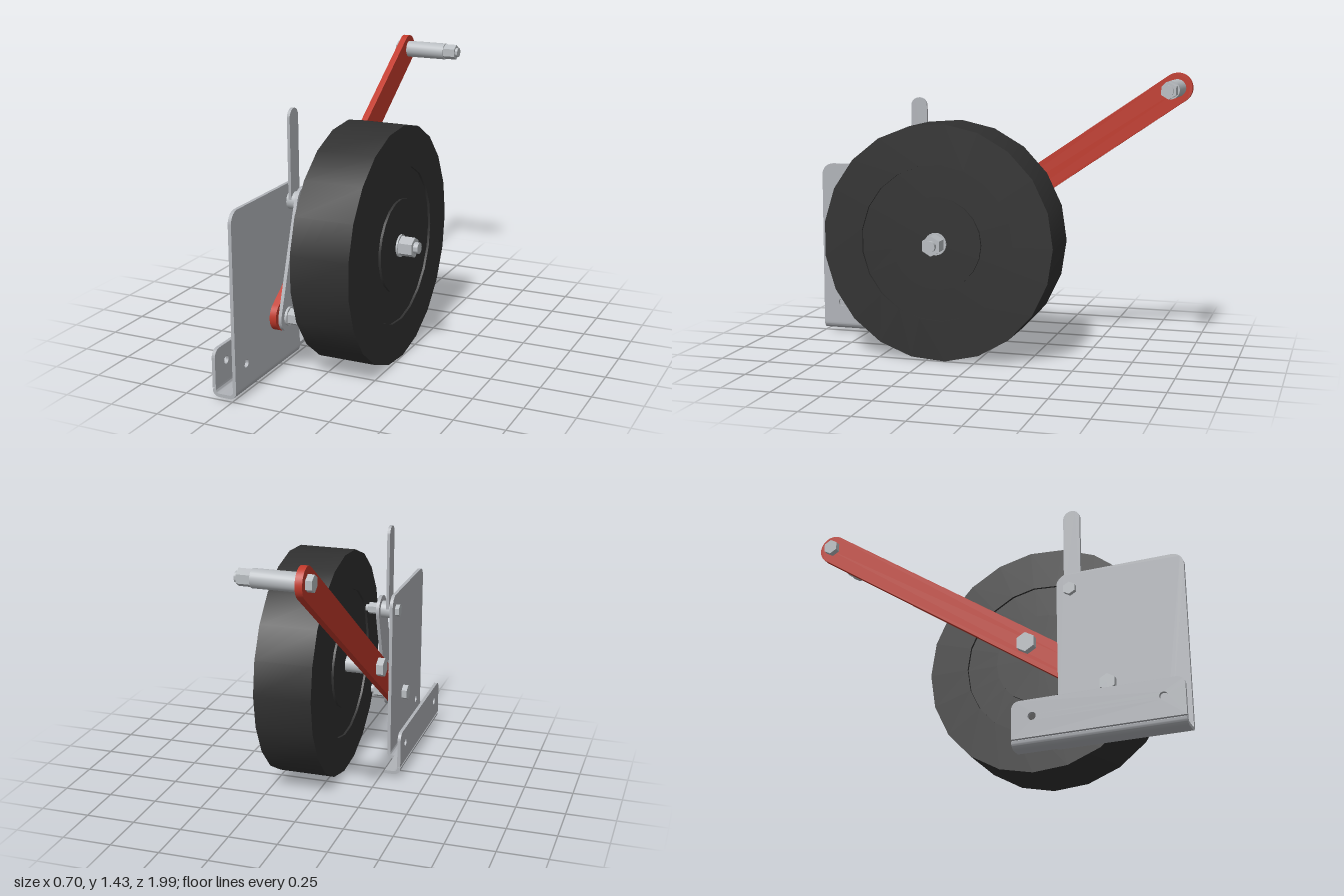
import * as THREE from 'three';
import { toCreasedNormals } from 'three/addons/utils/BufferGeometryUtils.js';

const material = (name, color, side = THREE.FrontSide) => {
  const m = new THREE.MeshStandardMaterial({ color, side });
  m.name = name;
  return m;
};

export function createModel() {
  const model = new THREE.Group();
  const sheet = material('sheet steel', 0xb0b3b8);
  const steel = material('bolt steel', 0xb8bcc0);
  const red = material('red paint', 0xc0392b);
  const rubber = material('black rubber', 0x303030);

  const add = (parent, name, geometry, mat) => {
    const mesh = new THREE.Mesh(toCreasedNormals(geometry, 0.6), mat);
    mesh.name = name;
    parent.add(mesh);
    return mesh;
  };

  // Flat plate: shape drawn as (-z, y), thickness running along x
  const plate = (name, shape, x0, x1, mat) => {
    const g = new THREE.ExtrudeGeometry(shape, { depth: x1 - x0, bevelEnabled: false, curveSegments: 10 });
    g.rotateY(Math.PI / 2).translate(x0, 0, 0);
    return add(model, name, g, mat);
  };

  // Round-ended bar between two [z, y] points, with an optional notch in its upper edge
  const bar = (p, q, r, notch) => {
    const [ax, ay, bx, by] = [-p[0], p[1], -q[0], q[1]];
    const ang = Math.atan2(by - ay, bx - ax);
    const c = Math.cos(ang), s = Math.sin(ang);
    const shape = new THREE.Shape();
    shape.absarc(ax, ay, r, ang + Math.PI / 2, ang + Math.PI * 1.5, false);
    shape.absarc(bx, by, r, ang - Math.PI / 2, ang + Math.PI / 2, false);
    if (notch) {
      const { from, to, depth } = notch;
      for (const [t, h] of [[to, r], [to, r - depth], [from, r - depth], [from, r]])
        shape.lineTo(ax + c * t - s * h, ay + s * t + c * h);
    }
    shape.closePath();
    return shape;
  };

  // Plate with two rounded upper corners and round holes, given in z and y
  const panel = (zBack, zFront, y0, y1, r, holes) => {
    const a = -zFront, b = -zBack;
    const shape = new THREE.Shape();
    shape.moveTo(a, y0);
    shape.lineTo(b, y0);
    shape.absarc(b - r, y1 - r, r, 0, Math.PI / 2, false);
    shape.absarc(a + r, y1 - r, r, Math.PI / 2, Math.PI, false);
    shape.closePath();
    for (const [z, y] of holes) {
      const hole = new THREE.Path();
      hole.absarc(-z, y, 0.02, 0, Math.PI * 2, true);
      shape.holes.push(hole);
    }
    return shape;
  };

  // Pivot points as [z, y]
  const lower = [0.611, 0.311], upper = [0.432, 0.836];
  const axle = [0.197, 0.597], grip = [-0.92, 1.36];

  // Bent mounting bracket
  const xl = -0.354, xr = -0.229, t = 0.017, yBend = 0.06;
  plate('bracketPlate', panel(0.36, 1, yBend, 0.925, 0.06, [[0.897, 0.163]]), xr - t, xr, sheet);
  plate('bracketFlange', panel(0.165, 1, yBend, 0.247, 0.04, [[0.897, 0.163], [0.268, 0.163]]), xl, xl + t, sheet);
  const trough = (name, full, z0, z1) => {
    const ro = 0.035, ri = ro - t, yc = 0.017 + ro, h = Math.PI / 2;
    const s = new THREE.Shape();
    s.moveTo(xl, yBend);
    s.absarc(xl + ro, yc, ro, Math.PI, 3 * h, false);
    if (full) {
      s.absarc(xr - ro, yc, ro, 3 * h, 4 * h, false);
      s.lineTo(xr, yBend);
      s.lineTo(xr - t, yBend);
      s.absarc(xr - ro, yc, ri, 0, -h, true);
    } else {
      s.lineTo(-0.27, 0.017);
      s.lineTo(-0.27, 0.017 + t);
    }
    s.absarc(xl + ro, yc, ri, -h, -2 * h, true);
    s.lineTo(xl + t, yBend);
    s.closePath();
    const g = new THREE.ExtrudeGeometry(s, { depth: z1 - z0, bevelEnabled: false, curveSegments: 8 });
    add(model, name, g.translate(0, 0, z0), sheet);
  };
  trough('bracketBase', true, 0.36, 1);
  trough('bracketBaseTail', false, 0.165, 0.36);

  // Crank arm, connecting link and latch lever
  plate('crankArm', bar(lower, grip, 0.075, { from: 0.22, to: 0.287, depth: 0.045 }), -0.218, -0.184, red);
  plate('connectingLink', bar(lower, upper, 0.073), -0.172, -0.155, sheet);
  plate('latchLever', bar(upper, [0.435, 1.248], 0.043), -0.217, -0.202, sheet);

  // Wheel with a shallow ring recess on both faces
  const w0 = -0.05, w1 = 0.247, R = 0.595, dip = 0.012;
  const profile = [
    [0, w0], [0.232, w0], [0.232, w0 + dip], [0.392, w0 + dip], [0.392, w0], [R, w0],
    [R, w1], [0.392, w1], [0.392, w1 - dip], [0.232, w1 - dip], [0.232, w1], [0, w1],
  ].map(([r, x]) => new THREE.Vector2(r, x));
  const wheelGeometry = new THREE.LatheGeometry(profile, 21, Math.PI);
  wheelGeometry.rotateZ(-Math.PI / 2);
  add(model, 'wheel', wheelGeometry, rubber).position.set(0, axle[1], axle[0]);

  // Bolts along x, each a stack of [part, x0, x1, radius, sides]
  const bolt = (name, [z, y], parts) => {
    const group = new THREE.Group();
    group.name = name;
    group.position.set(0, y, z);
    for (const [part, x0, x1, r, sides = 24] of parts) {
      const g = new THREE.CylinderGeometry(r, r, x1 - x0, sides);
      g.rotateZ(-Math.PI / 2).translate((x0 + x1) / 2, 0, 0);
      add(group, part, g, steel);
    }
    // Turn so that a hexagon corner points up
    group.rotation.x = Math.PI / 2;
    model.add(group);
  };
  bolt('axleBolt', axle, [
    ['head', -0.255, -0.218, 0.051, 6], ['sleeve', -0.184, -0.05, 0.044],
    ['washer', 0.247, 0.256, 0.056], ['nut', 0.256, 0.326, 0.051, 6], ['boltEnd', 0.326, 0.35, 0.028],
  ]);
  bolt('gripBolt', grip, [
    ['head', -0.249, -0.218, 0.041, 6], ['gripSleeve', -0.184, 0.033, 0.044],
    ['nut', 0.033, 0.097, 0.041, 6], ['boltEnd', 0.097, 0.111, 0.025],
  ]);
  bolt('lowerPivotBolt', lower, [
    ['head', -0.275, -0.246, 0.042, 6], ['innerWasher', -0.229, -0.218, 0.05],
    ['middleWasher', -0.184, -0.172, 0.05], ['outerWasher', -0.155, -0.143, 0.046],
    ['nut', -0.143, -0.085, 0.042, 6], ['boltEnd', -0.085, -0.067, 0.024],
  ]);
  bolt('upperPivotBolt', upper, [
    ['head', -0.268, -0.246, 0.033, 6], ['spacer', -0.229, -0.172, 0.045],
    ['outerWasher', -0.155, -0.146, 0.036], ['nut', -0.146, -0.1, 0.032, 6], ['boltEnd', -0.1, -0.082, 0.018],
  ]);

  return model;
}
